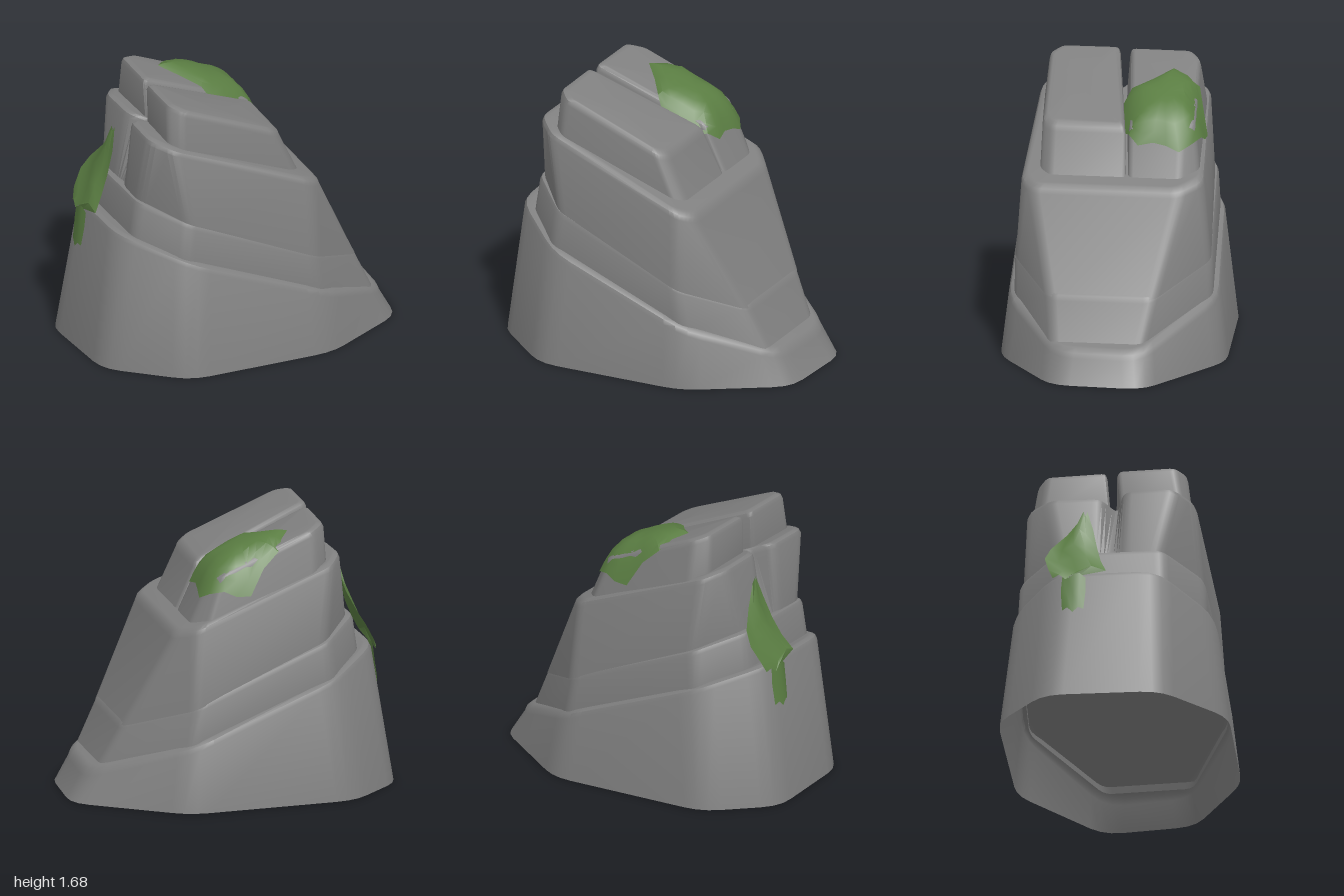
import * as THREE from 'three';
import { toCreasedNormals } from 'three/addons/utils/BufferGeometryUtils.js';

const stone = new THREE.MeshStandardMaterial({ color: 0x808080, side: THREE.DoubleSide });
stone.name = 'stone';
const moss = new THREE.MeshStandardMaterial({ color: 0x5a7d42, side: THREE.DoubleSide });
moss.name = 'moss';

// tilted bedding planes, y as a function of x
const plane = (a, s) => (x) => a - s * x;
const ground = () => 0;
const ledge1 = plane(0.54, 0.385);
const ledge2 = plane(0.775, 0.4);
const ledge3 = plane(1.23, 0.385);
const summit = plane(1.472, 0.4);

// replace each corner of an outline by a short curve
function rounded(corners, radius) {
  const out = [];
  const pts = corners.map(([x, z]) => new THREE.Vector2(x, z));
  const n = pts.length;
  pts.forEach((p, i) => {
    const toward = (q) => {
      const d = q.clone().sub(p);
      return p.clone().addScaledVector(d, Math.min(radius / d.length(), 0.4));
    };
    const curve = new THREE.QuadraticBezierCurve(toward(pts[(i + n - 1) % n]), p, toward(pts[(i + 1) % n]));
    out.push(...curve.getPoints(3));
  });
  return out;
}

// skin rings of equal length, optionally closing the last one with a fan
function skin(rings, centre, closed = true) {
  const n = rings[0].length;
  const pos = rings.flat().flatMap((p) => p);
  const index = [];
  const last = closed ? n : n - 1;
  for (let r = 0; r < rings.length - 1; r++) {
    for (let i = 0; i < last; i++) {
      const a = r * n + i, b = r * n + ((i + 1) % n);
      index.push(a, a + n, b, b, a + n, b + n);
    }
  }
  if (centre) {
    const c = pos.length / 3, start = (rings.length - 1) * n;
    pos.push(...centre);
    for (let i = 0; i < n; i++) index.push(c, start + ((i + 1) % n), start + i);
  }
  const geo = new THREE.BufferGeometry();
  geo.setAttribute('position', new THREE.Float32BufferAttribute(pos, 3));
  geo.setIndex(index);
  return toCreasedNormals(geo, 0.6);
}

// one stone slab: tapering wall, rounded lip, tilted top
function slab(name, low, high, lowPlane, highPlane, radius = 0.08) {
  const bottom = rounded(low, radius), top = rounded(high, radius);
  const c = new THREE.Vector2();
  top.forEach((p) => c.addScaledVector(p, 1 / top.length));
  const rings = [bottom.map((p) => [p.x, lowPlane(p.x), p.y])];
  for (const [inset, drop] of [[0, 0.045], [0.012, 0.018], [0.04, 0.002], [0.055, 0]]) {
    rings.push(top.map((p) => {
      const q = p.clone().addScaledVector(c.clone().sub(p).normalize(), inset);
      return [q.x, highPlane(q.x) - drop, q.y];
    }));
  }
  const mesh = new THREE.Mesh(skin(rings, [c.x, highPlane(c.x), c.y]), stone);
  mesh.name = name;
  return mesh;
}

// moss sheet from rows of [y, x, zMin, zMax]
function mossSheet(name, rows) {
  const rings = rows.map(([y, x, z0, z1], r) => [0, 1, 2, 3, 4].map((i) => {
    const t = i / 4;
    return [x - 0.015 * Math.sin(Math.PI * t), y + 0.02 * Math.sin(i * 2.3 + r), z0 + (z1 - z0) * t];
  }));
  const mesh = new THREE.Mesh(skin(rings, null, false), moss);
  mesh.name = name;
  return mesh;
}

// domed moss cushion; edge points are [x, z, height above the summit plane]
function mossCushion(name, edge, cx, cz, lift) {
  const rings = [1, 0.88, 0.72, 0.5, 0.25].map((t) => edge.map(([x, z, d]) => {
    const px = cx + (x - cx) * t, pz = cz + (z - cz) * t;
    return [px, summit(px) + lift + (d - lift) * t ** 3.5, pz];
  }));
  const mesh = new THREE.Mesh(skin(rings, [cx, summit(cx) + lift, cz]), moss);
  mesh.name = name;
  return mesh;
}

export function createModel() {
  const rock = new THREE.Group();
  rock.name = 'mossyRock';
  const sunk = (f) => (x) => f(x) - 0.03;

  // hollow base, open underneath
  rock.add(slab('baseSlab',
    [[-1.01, -0.34], [-0.66, -0.67], [0.38, -0.715], [1.01, -0.28], [0.98, 0.28], [0.42, 0.65], [-0.52, 0.715], [-0.96, 0.36]],
    [[-0.88, -0.29], [-0.57, -0.6], [0.34, -0.67], [0.92, -0.26], [0.9, 0.27], [0.4, 0.61], [-0.48, 0.63], [-0.86, 0.33]],
    ground, ledge1, 0.12));

  rock.add(slab('lowerSlab',
    [[-0.78, -0.3], [-0.55, -0.57], [0.34, -0.63], [0.84, -0.25], [0.84, 0.29], [0.38, 0.575], [-0.5, 0.58], [-0.76, 0.35]],
    [[-0.75, -0.3], [-0.53, -0.56], [0.3, -0.62], [0.71, -0.3], [0.71, 0.32], [0.34, 0.575], [-0.48, 0.565], [-0.73, 0.34]],
    sunk(ledge1), ledge2, 0.05));

  // tall slab with a cleft in its high side
  rock.add(slab('middleSlab',
    [[-0.71, -0.28], [-0.51, -0.54], [0.32, -0.615], [0.7, -0.31], [0.7, 0.33], [0.35, 0.57], [-0.47, 0.555], [-0.71, 0.31],
      [-0.71, 0.1], [-0.69, 0.03], [-0.7, -0.05]],
    [[-0.65, -0.36], [-0.56, -0.51], [0.3, -0.57], [0.42, -0.43], [0.42, 0.46], [0.33, 0.54], [-0.55, 0.52], [-0.68, 0.4],
      [-0.68, 0.1], [-0.52, 0.04], [-0.64, -0.05]],
    sunk(ledge2), ledge3, 0.05));

  // split cap
  rock.add(slab('frontCap',
    [[-0.55, 0.06], [0.32, -0.1], [0.32, 0.37], [0.26, 0.43], [-0.49, 0.49], [-0.56, 0.43]],
    [[-0.55, 0.04], [0.19, -0.08], [0.19, 0.37], [0.14, 0.43], [-0.48, 0.46], [-0.55, 0.39]],
    sunk(ledge3), summit, 0.03));
  rock.add(slab('backCap',
    [[-0.55, -0.42], [-0.46, -0.5], [0.22, -0.535], [0.32, -0.42], [0.32, -0.11], [-0.53, 0]],
    [[-0.54, -0.39], [-0.46, -0.46], [0.13, -0.5], [0.2, -0.42], [0.19, -0.1], [-0.54, -0.02]],
    sunk(ledge3), summit, 0.03));

  // moss on the cap and down the high side
  rock.add(mossCushion('capMoss', [
    [-0.33, -0.31, 0.01], [-0.27, -0.4, 0.01], [-0.23, -0.48, -0.03], [-0.13, -0.51, -0.08], [-0.04, -0.55, -0.2],
    [0.05, -0.545, -0.16], [0.12, -0.53, -0.1], [0.2, -0.48, -0.09], [0.245, -0.41, -0.11], [0.235, -0.33, -0.08],
    [0.225, -0.25, -0.07], [0.24, -0.16, -0.08], [0.19, -0.1, -0.05], [0.12, -0.06, -0.09], [0.02, -0.04, -0.06],
    [-0.08, -0.03, -0.06], [-0.14, -0.08, 0.01], [-0.23, -0.2, 0.01]], -0.01, -0.29, 0.075));
  rock.add(mossSheet('sideMoss', [
    [0.83, -0.885, -0.3, -0.14], [0.88, -0.865, -0.33, 0.02], [0.98, -0.81, -0.36, -0.02],
    [1.08, -0.76, -0.33, -0.05], [1.2, -0.715, -0.24, -0.08], [1.33, -0.685, -0.15, -0.12]]));
  rock.add(mossSheet('hangingMoss', [
    [0.6, -0.908, -0.24, -0.11], [0.72, -0.892, -0.25, -0.1], [0.84, -0.88, -0.24, -0.1]]));
  return rock;
}
